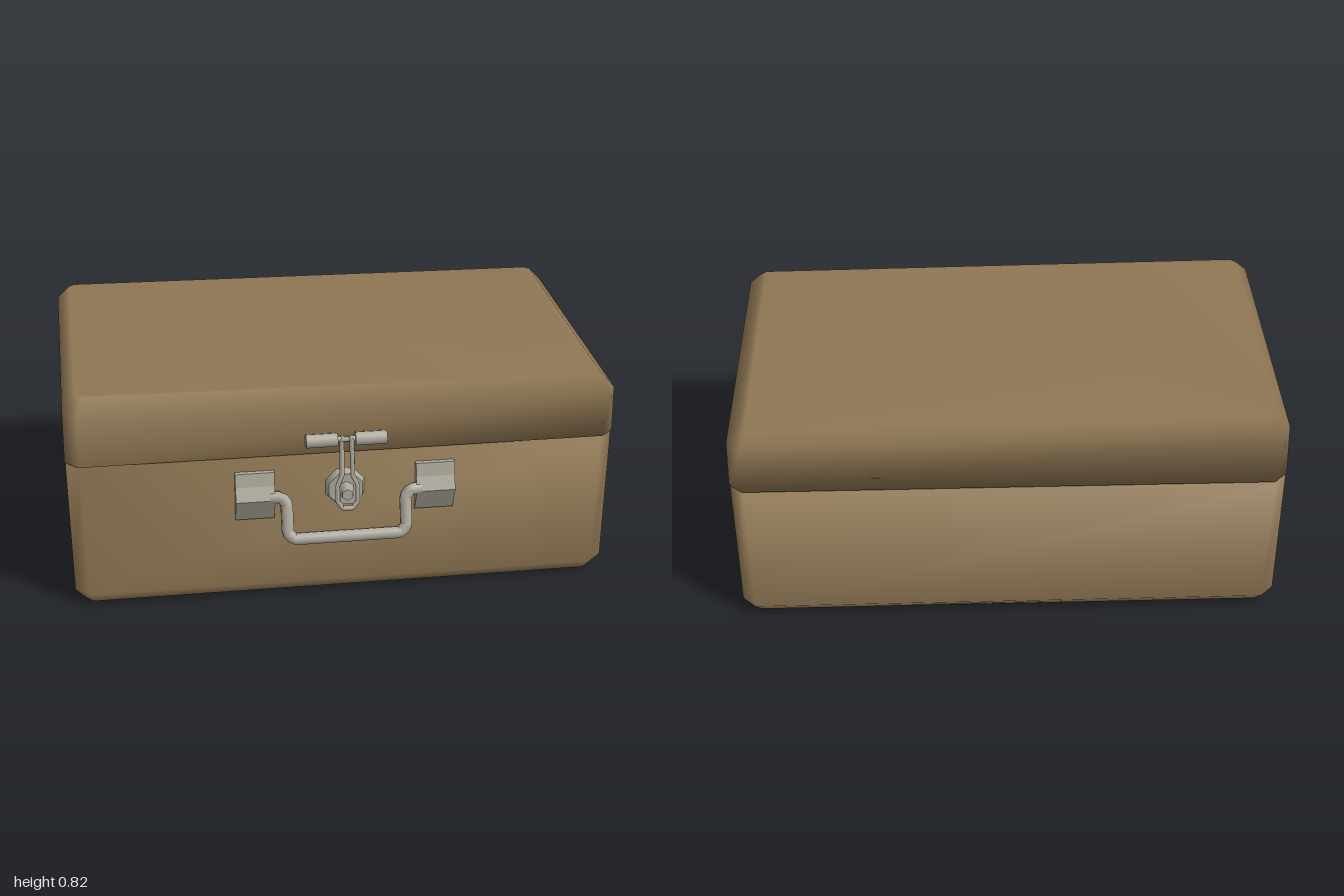
import * as THREE from 'three';

const leather = new THREE.MeshStandardMaterial({ color: 0x8f7754 });
leather.name = 'tan leather';
const metal = new THREE.MeshStandardMaterial({ color: 0xaeab9e });
metal.name = 'dull metal';

function add(group, name, geometry, material, x = 0, y = 0, z = 0) {
  const mesh = new THREE.Mesh(geometry, material);
  mesh.name = name;
  mesh.position.set(x, y, z);
  group.add(mesh);
  return mesh;
}

// Eight-cornered loops stacked upwards and capped, sharing vertices for soft shading.
// Each ring: x half-width, front z, back z, corner cut, height, drop towards +x.
function shell(rings) {
  const pos = [], idx = [];
  for (const [w, f, b, c, y, drop = 0] of rings) {
    const loop = [[w - c, f], [w, f - c], [w, b + c], [w - c, b],
      [c - w, b], [-w, b + c], [-w, f - c], [c - w, f]];
    for (const [x, z] of loop) pos.push(x, y - drop * (x + 1) / 2, z);
  }
  for (let r = 0; r < rings.length - 1; r++) {
    for (let i = 0; i < 8; i++) {
      const a = r * 8 + i, b = r * 8 + (i + 1) % 8;
      idx.push(a, b, b + 8, a, b + 8, a + 8);
    }
  }
  const t = (rings.length - 1) * 8;
  for (let i = 1; i < 7; i++) idx.push(0, i + 1, i, t, t + i, t + i + 1);
  const g = new THREE.BufferGeometry();
  g.setAttribute('position', new THREE.Float32BufferAttribute(pos, 3));
  g.setIndex(idx);
  g.computeVertexNormals();
  return g;
}

// Tube that follows straight runs between the given points
function rod(points, radius, sides, closed = false) {
  const v = points.map(p => new THREE.Vector3(...p));
  const path = new THREE.CurvePath();
  const n = closed ? v.length : v.length - 1;
  for (let i = 0; i < n; i++) path.add(new THREE.LineCurve3(v[i], v[(i + 1) % v.length]));
  return new THREE.TubeGeometry(path, 72, radius, sides, closed);
}

export function createModel() {
  const model = new THREE.Group();
  model.name = 'suitcase';

  // Case halves, with a narrow seam between them
  add(model, 'caseBody', shell([
    [0.945, 0.52, -0.615, 0.02, 0],
    [0.99, 0.567, -0.663, 0.05, 0.052],
    [0.997, 0.574, -0.663, 0.05, 0.572],
  ]), leather);
  add(model, 'lid', shell([
    [1, 0.577, -0.665, 0.05, 0.578],
    [0.998, 0.577, -0.65, 0.05, 0.772, 0.022],
    [0.95, 0.52, -0.605, 0.02, 0.823, 0.022],
  ]), leather);

  // Wedge brackets holding the handle
  const wedge = new THREE.Shape([[0.57, 0.52], [0.592, 0.52], [0.6, 0.47], [0.621, 0.42], [0.578, 0.33], [0.57, 0.33]]
    .map(([z, y]) => new THREE.Vector2(-z, y)));
  const wedgeGeo = new THREE.ExtrudeGeometry(wedge, { depth: 0.142, bevelEnabled: false });
  wedgeGeo.rotateY(Math.PI / 2);
  wedgeGeo.scale(1, 1, 1);
  for (const side of [-1, 1]) {
    add(model, side > 0 ? 'leftBracket' : 'rightBracket', wedgeGeo, metal, side * 0.329 - 0.071);
  }

  // Carrying handle with cut corners, leaning outwards at the bottom
  const half = [[0.275, 0.425, 0.6], [0.235, 0.425, 0.605], [0.217, 0.4, 0.61], [0.217, 0.295, 0.64], [0.195, 0.273, 0.645]];
  const mirrored = half.map(([x, y, z]) => [-x, y, z]).reverse();
  add(model, 'handle', rod([...half, ...mirrored], 0.023, 8), metal);

  // Hinge barrels of the latch and the thin pin between them
  const barrel = new THREE.CylinderGeometry(0.026, 0.026, 0.114, 8).rotateZ(Math.PI / 2);
  for (const side of [-1, 1]) {
    add(model, side > 0 ? 'leftLatchBarrel' : 'rightLatchBarrel', barrel, metal, side * 0.089, 0.64, 0.602);
  }
  add(model, 'latchPin', new THREE.CylinderGeometry(0.012, 0.012, 0.08, 8).rotateZ(Math.PI / 2), metal, 0, 0.64, 0.602);

  // Latch loop: two close arms that open into a ring
  const lean = (x, y) => [x, y, 0.612 + (0.65 - y) * 0.165];
  const arm = [[0.018, 0.645], [0.02, 0.51], [0.036, 0.475], [0.036, 0.415], [0.018, 0.39]];
  const loop = [...arm.map(([x, y]) => lean(x, y)), ...arm.map(([x, y]) => lean(-x, y)).reverse()];
  add(model, 'latchLoop', rod(loop, 0.009, 6, true), metal);

  // Lock plate and knob
  add(model, 'lockPlate', new THREE.CylinderGeometry(0.066, 0.076, 0.03, 8).rotateX(Math.PI / 2)
    .rotateZ(Math.PI / 8), metal, 0, 0.44, 0.587);
  add(model, 'lockKnob', new THREE.CylinderGeometry(0.022, 0.034, 0.06, 6).rotateX(Math.PI / 2), metal, 0, 0.44, 0.62);

  return model;
}
